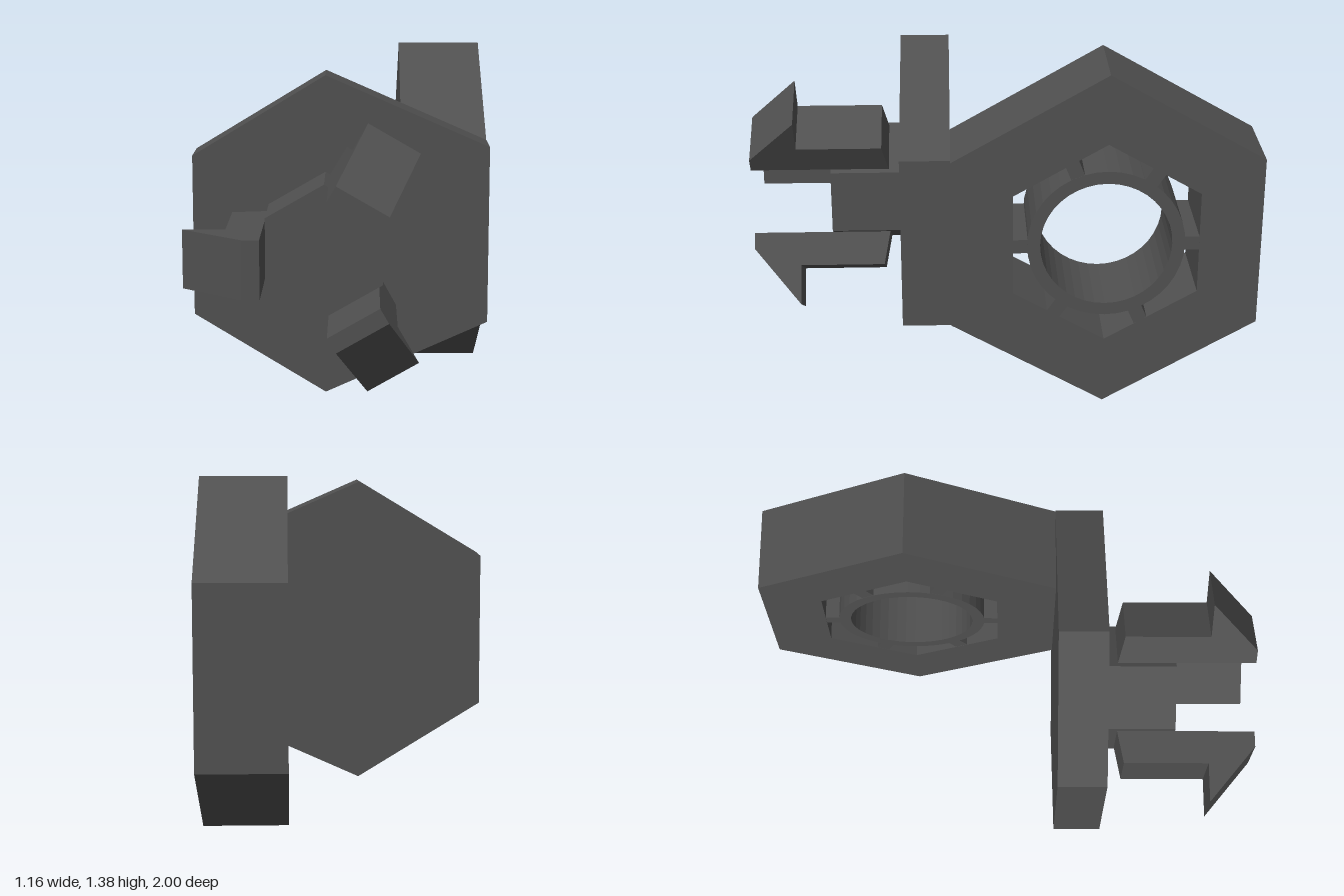
import * as THREE from 'three';

const CX = -0.06, CY = 0.695; // axis of the front connector

const shapeOf = (points) => new THREE.Shape(points.map(([x, y]) => new THREE.Vector2(x, y)));

// Pointy-topped hexagon around (x, y)
function hexPoints(radius, x = 0, y = 0) {
  return Array.from({ length: 6 }, (_, i) => {
    const a = Math.PI / 6 + (i * Math.PI) / 3;
    return [x + radius * Math.cos(a), y + radius * Math.sin(a)];
  });
}

const extrude = (shape, depth) =>
  new THREE.ExtrudeGeometry(shape, { depth, bevelEnabled: false, curveSegments: 20 });

export function createModel() {
  const model = new THREE.Group();
  model.name = 'hexConnector';
  const darkGrey = new THREE.MeshStandardMaterial({ color: 0x505050 });
  darkGrey.name = 'darkGrey';

  const add = (parent, name, geometry) => {
    const mesh = new THREE.Mesh(geometry, darkGrey);
    mesh.name = name;
    parent.add(mesh);
    return mesh;
  };

  // Front plate, slightly stretched towards the socket
  const plate = extrude(shapeOf([
    [-0.06, 0.06], [0.58, 0.35], [0.58, 1.05], [-0.06, 1.33], [-0.58, 1.015], [-0.58, 0.38],
  ]), 0.193);
  add(model, 'frontPlate', plate).position.z = 0.197;

  // Hexagonal hub on the plate
  add(model, 'hub', extrude(shapeOf(hexPoints(0.257, CX, CY)), 0.29)).position.z = 0.39;

  // Three snap claws around the hub: profile is (radius, z)
  const claw = extrude(shapeOf([
    [0.225, 0.445], [0.36, 0.47], [0.36, 0.81], [0.52, 0.81], [0.29, 1.0], [0.225, 1.0],
  ]), 0.222);
  claw.translate(0, 0, -0.111).rotateX(Math.PI / 2);
  [60, 180, 300].forEach((deg, i) => {
    const mesh = add(model, `claw${i + 1}`, claw);
    mesh.position.set(CX, CY, 0);
    mesh.rotation.z = THREE.MathUtils.degToRad(deg);
  });

  // Socket, built facing z and turned to face +x
  const socket = new THREE.Group();
  socket.name = 'socket';
  socket.position.set(0.24, 0.693, -0.4);
  socket.rotation.y = Math.PI / 2;
  model.add(socket);

  const depth = 0.34;
  const frame = shapeOf(hexPoints(0.692));
  frame.holes.push(new THREE.Path(shapeOf(hexPoints(0.415)).getPoints().reverse()));
  add(socket, 'socketFrame', extrude(frame, depth));

  // Thin ring held in the hexagonal opening
  const ring = new THREE.Shape().absarc(0, 0, 0.305, 0, Math.PI * 2, false);
  ring.holes.push(new THREE.Path().absarc(0, 0, 0.255, 0, Math.PI * 2, true));
  add(socket, 'socketRing', extrude(ring, depth));

  // Unevenly spaced spokes between ring and frame
  const spoke = new THREE.BoxGeometry(0.09, 0.056, depth - 0.002);
  spoke.translate(0.335, 0, depth / 2);
  [0, 57, 112, 181, 236, 293].forEach((deg, i) => {
    add(socket, `spoke${i + 1}`, spoke).rotation.z = THREE.MathUtils.degToRad(deg);
  });

  return model;
}
